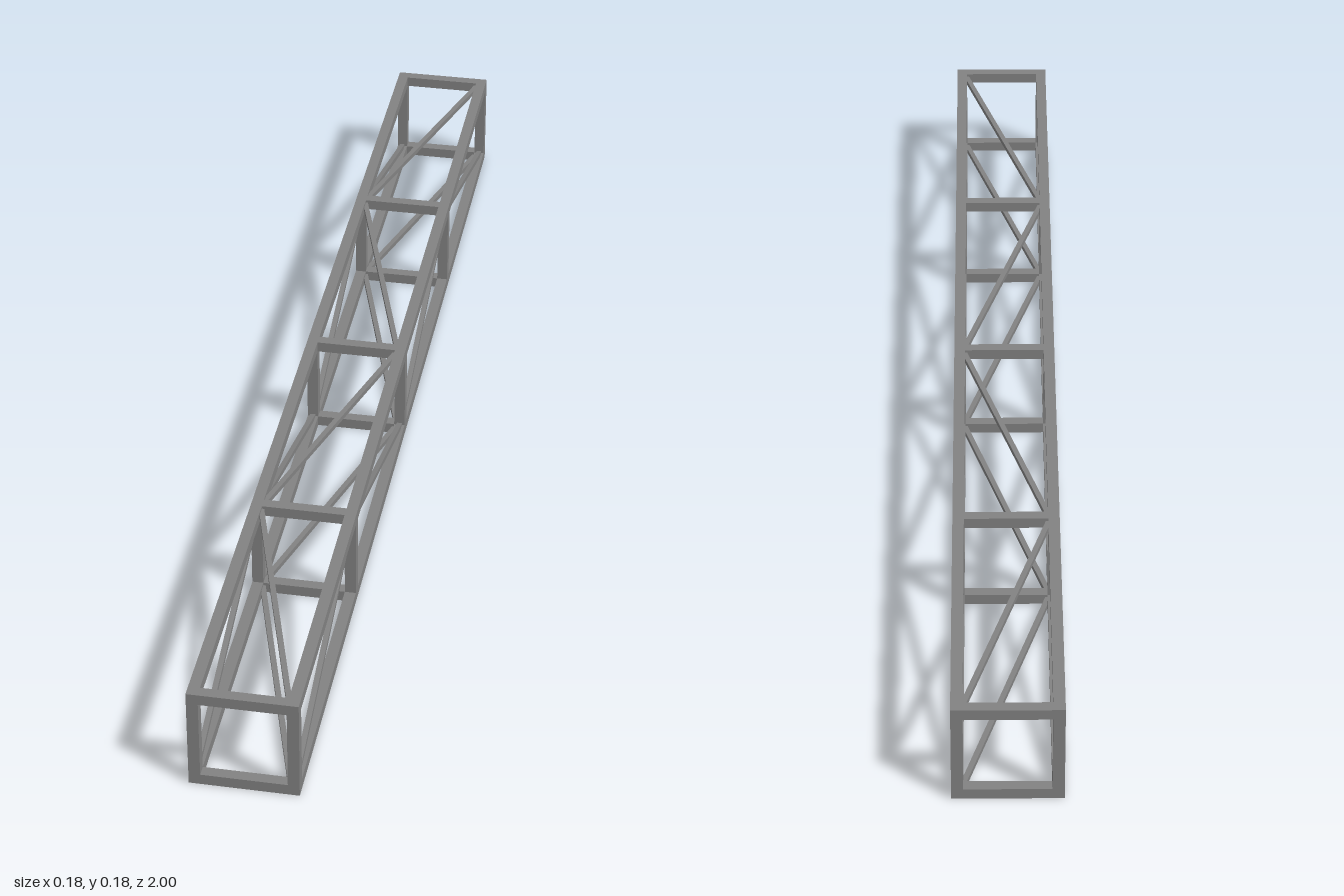
import * as THREE from 'three';

const material = new THREE.MeshStandardMaterial({ color: 0x828282, flatShading: true });

const T = 0.019;             // square section of the chords and frames
const D = 0.009;             // square section of the diagonal braces
const X = 0.089 - T / 2;     // chord centre line, sideways
const Y0 = T / 2;            // lower chord centre line
const Y1 = 0.18 - T / 2;     // upper chord centre line
const INSET = 0.006;         // braces meet near the inner edges of the chords
const FRAMES_Z = [1 - T / 2, 0.493, -0.006, -0.503, -1 + T / 2];

// Square bar whose axis runs from a to b
function bar(name, a, b, size) {
  const from = new THREE.Vector3(...a);
  const to = new THREE.Vector3(...b);
  const mesh = new THREE.Mesh(new THREE.BoxGeometry(size, size, from.distanceTo(to)), material);
  mesh.position.copy(from).add(to).multiplyScalar(0.5);
  mesh.lookAt(to);
  mesh.name = name;
  return mesh;
}

export function createModel() {
  const truss = new THREE.Group();
  truss.name = 'boxTruss';

  // Four long chords
  for (const x of [-X, X]) {
    for (const y of [Y0, Y1]) truss.add(bar('chord', [x, y, -1], [x, y, 1], T));
  }

  // Square frames at the ends and between the bays
  for (const z of FRAMES_Z) {
    const frame = new THREE.Group();
    frame.name = 'frame';
    for (const x of [-X, X]) frame.add(bar('post', [x, Y0, z], [x, Y1, z], T));
    for (const y of [Y0, Y1]) frame.add(bar('crossBar', [-X, y, z], [X, y, z], T));
    truss.add(frame);
  }

  // Zigzag diagonals on all four sides
  const low = Y0 + INSET, high = Y1 - INSET, side = X - INSET;
  for (let i = 0; i < FRAMES_Z.length - 1; i++) {
    const za = FRAMES_Z[i], zb = FRAMES_Z[i + 1];
    const even = i % 2 === 0;
    const [ya, yb] = even ? [low, high] : [high, low];
    const [xa, xb] = even ? [side, -side] : [-side, side];
    for (const x of [-X, X]) truss.add(bar('sideBrace', [x, ya, za], [x, yb, zb], D));
    for (const y of [Y0, Y1]) truss.add(bar('flatBrace', [xa, y, za], [xb, y, zb], D));
  }
  return truss;
}
